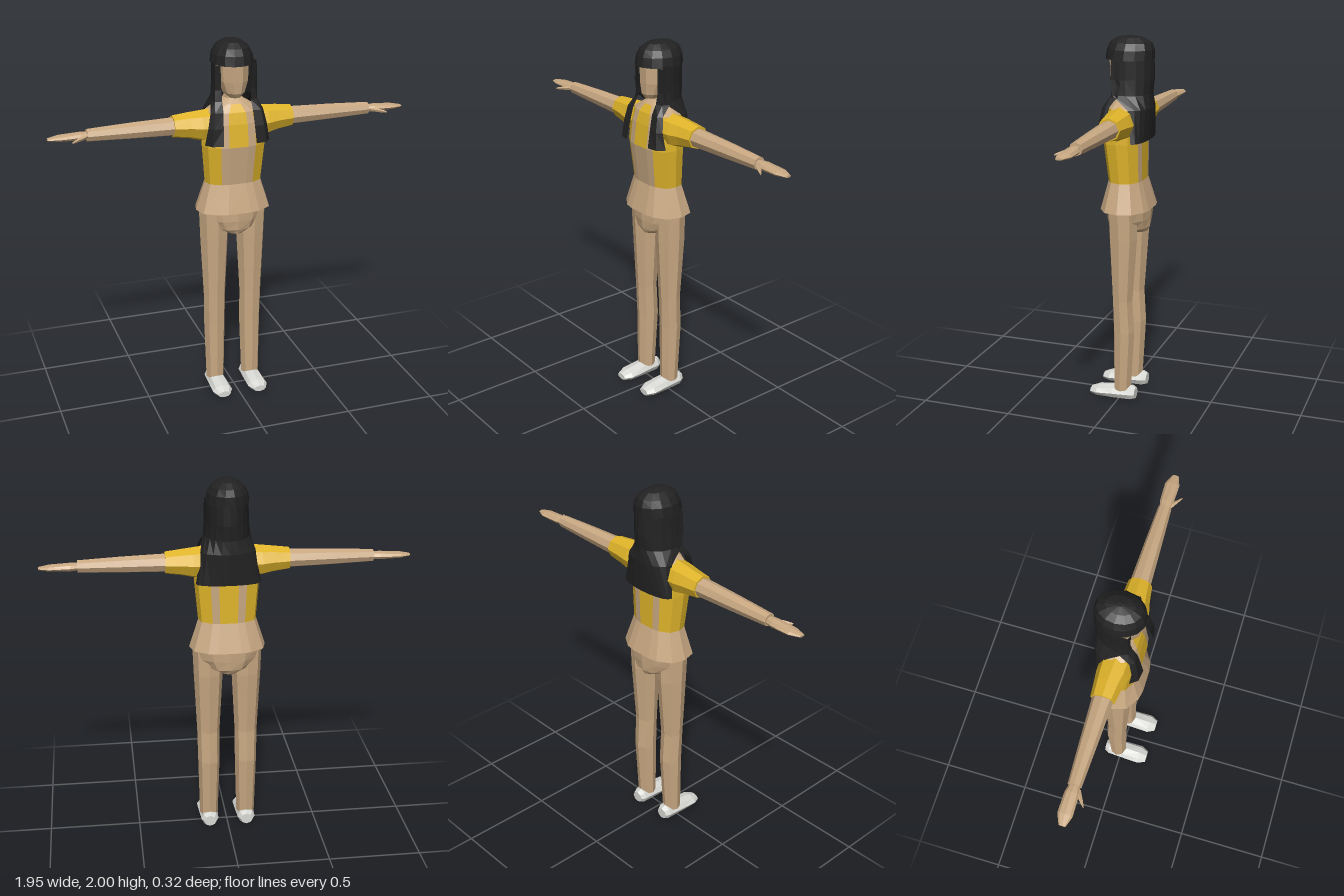
import * as THREE from 'three';

const mat = (name, color, extra = {}) => {
  const m = new THREE.MeshStandardMaterial({ color, flatShading: true, ...extra });
  m.name = name;
  return m;
};

// Oval outline with n corners inside the given bounds
const oval = (n, a0, a1, b0, b1) => Array.from({ length: n }, (_, i) => {
  const t = (i / n) * Math.PI * 2;
  return [(a0 + a1) / 2 + (a1 - a0) / 2 * Math.cos(t), (b0 + b1) / 2 + (b1 - b0) / 2 * Math.sin(t)];
});
// Rings across each axis
const ringY = (n, y, x0, x1, z0, z1) => oval(n, x0, x1, z0, z1).map(([x, z]) => [x, y, z]);
const ringX = (n, x, y0, y1, z0, z1) => oval(n, y0, y1, z0, z1).map(([y, z]) => [x, y, z]);
const ringZ = (n, z, x0, x1, y0, y1) => oval(n, x0, x1, y0, y1).map(([x, y]) => [x, y, z]);

// Skin rings into a solid (or an open sheet); pick(row, column) gives the material index
function loft(name, rings, materials, { sheet = false, pick = () => 0 } = {}) {
  const mats = [materials].flat();
  const buckets = mats.map(() => []);
  const n = rings[0].length;
  const cols = sheet ? n - 1 : n;
  for (let r = 0; r < rings.length - 1; r++) {
    for (let c = 0; c < cols; c++) {
      const d = (c + 1) % n;
      const [p, q, s, t] = [rings[r][c], rings[r][d], rings[r + 1][d], rings[r + 1][c]];
      buckets[pick(r, c)].push([p, q, s], [p, s, t]);
    }
  }
  if (!sheet) {
    const first = rings[0], last = rings[rings.length - 1];
    for (let c = 1; c < n - 1; c++) {
      buckets[0].push([first[0], first[c + 1], first[c]], [last[0], last[c], last[c + 1]]);
    }
  }
  // Turn all faces outward by the sign of the volume
  let volume = 0;
  const v = (p) => new THREE.Vector3(...p);
  buckets.flat().forEach(([a, b, c]) => { volume += v(a).dot(v(b).cross(v(c))); });
  const geo = new THREE.BufferGeometry();
  const pos = [];
  buckets.forEach((tris, i) => {
    geo.addGroup(pos.length / 3, tris.length * 3, i);
    tris.forEach(([a, b, c]) => pos.push(...a, ...(volume < 0 ? [...c, ...b] : [...b, ...c])));
  });
  geo.setAttribute('position', new THREE.Float32BufferAttribute(pos, 3));
  geo.computeVertexNormals();
  const mesh = new THREE.Mesh(geo, mats);
  mesh.name = name;
  return mesh;
}

const mirror = (rings, side) => rings.map((ring) => ring.map(([x, y, z]) => [x * side, y, z]));

export function createModel() {
  const model = new THREE.Group();
  model.name = 'figure';
  const tan = mat('tan', 0xc8a882);
  const yellow = mat('yellow', 0xdfb42a);
  const black = mat('black', 0x222222, { side: THREE.DoubleSide });
  const grey = mat('shoeGrey', 0xd8d8d4);

  // Top: boxy cross-sections with column edges placed at the colour seams
  const half = [-1, -0.9, -0.55, -0.3, 0.3, 0.55, 0.9];
  const outline = [...half.map((f) => [f, 1]), ...half.map((f) => [-f, -1])];
  const bodyRing = ([y, rx, zf, zb]) => outline.map(([f, s]) => {
    const bulge = (1 - Math.abs(f) ** 2.5) ** 0.4;
    const mid = (zf + zb) / 2;
    return [f * rx, y, mid + s * bulge * (zf - zb) / 2];
  });
  const body = [
    [1.085, 0.205, 0.115, -0.155], [1.24, 0.155, 0.075, -0.11], [1.45, 0.173, 0.1, -0.11],
    [1.57, 0.17, 0.085, -0.11], [1.63, 0.15, 0.07, -0.1], [1.67, 0.085, 0.045, -0.085],
    [1.695, 0.045, 0.015, -0.07],
  ].map(bodyRing);
  const bodyColour = (row, col) => {
    const front = col < 7, c = col % 7;
    const centre = c === 3, strip = c === 2 || c === 4;
    if (row === 0 || row > 4 || strip) return 0;
    if (centre) return front && row === 1 ? 0 : 1;
    return row < 4 ? 1 : 0;
  };
  model.add(loft('shirt', body, [tan, yellow], { pick: bodyColour }));

  // Rounded hips below the hem
  model.add(loft('hips', [
    ringY(12, 1.1, -0.185, 0.185, -0.145, 0.09),
    ringY(12, 1.03, -0.165, 0.165, -0.142, 0.09),
    ringY(12, 0.98, -0.125, 0.125, -0.138, 0.085),
    ringY(12, 0.955, -0.06, 0.06, -0.125, 0.075),
  ], tan));

  // Neck and head
  model.add(loft('neck', [
    ringY(8, 1.64, -0.05, 0.05, -0.08, 0.015),
    ringY(8, 1.78, -0.04, 0.04, -0.07, 0.015),
  ], tan));
  model.add(loft('head', [
    ringY(10, 1.705, -0.03, 0.03, -0.02, 0.06),
    ringY(10, 1.73, -0.058, 0.058, -0.08, 0.077),
    ringY(10, 1.79, -0.082, 0.082, -0.12, 0.082),
    ringY(10, 1.9, -0.088, 0.088, -0.13, 0.085),
  ], tan));

  // Hair: cap with fringe, long back sheet, and two front locks
  model.add(loft('hairCap', [
    ringY(14, 1.88, -0.114, 0.114, -0.155, 0.105),
    ringY(14, 1.93, -0.106, 0.106, -0.155, 0.097),
    ringY(14, 1.965, -0.086, 0.086, -0.143, 0.082),
    ringY(14, 1.99, -0.05, 0.05, -0.1, 0.045),
    ringY(14, 2, -0.012, 0.012, -0.04, -0.015),
  ], black));
  const backHair = [
    [1.89, 0.113, 0.04, -0.155], [1.78, 0.114, 0.045, -0.157], [1.7, 0.12, 0.03, -0.148],
    [1.63, 0.143, -0.06, -0.152], [1.46, 0.17, -0.085, -0.14],
  ].map(([y, rx, z0, z1]) => Array.from({ length: 11 }, (_, i) => {
    const t = (i / 10) * Math.PI;
    return [rx * Math.cos(t), y, z0 + (z1 - z0) * Math.sin(t) ** 0.8];
  }));
  model.add(loft('backHair', backHair, black, { sheet: true }));

  // Front lock rows: height, inner x and z, outer x and z
  const lock = [
    [1.88, 0.085, 0.05, 0.113, 0], [1.75, 0.08, 0.045, 0.116, -0.01], [1.69, 0.078, 0.055, 0.125, 0.0],
    [1.64, 0.08, 0.082, 0.143, 0.06], [1.56, 0.085, 0.1, 0.16, 0.075], [1.47, 0.09, 0.117, 0.177, 0.068],
  ].map(([y, xi, zi, xo, zo]) => [[xi, y, zi], [xi * 0.45 + xo * 0.55 + 0.01, y, zi * 0.6 + zo * 0.4 + 0.01], [xo, y, zo]]);

  for (const side of [1, -1]) {
    const label = side > 0 ? 'left' : 'right';
    const add = (part, rings, m, options) => model.add(loft(label + part, mirror(rings, side), m, options));
    add('HairLock', lock, black, { sheet: true });

    // Sleeve, arm, hand and thumb
    add('Sleeve', [
      ringX(8, 0.11, 1.47, 1.645, -0.095, 0.07),
      ringX(8, 0.18, 1.475, 1.638, -0.098, 0.066),
      ringX(8, 0.24, 1.49, 1.632, -0.092, 0.052),
      ringX(8, 0.325, 1.503, 1.622, -0.085, 0.04),
    ], yellow);
    add('Arm', [
      ringX(8, 0.3, 1.512, 1.612, -0.077, 0.032),
      ringX(8, 0.55, 1.518, 1.604, -0.068, 0.022),
      ringX(8, 0.775, 1.526, 1.593, -0.058, 0.012),
    ], tan);
    add('Hand', [
      ringX(8, 0.75, 1.54, 1.578, -0.045, 0),
      ringX(8, 0.81, 1.537, 1.58, -0.06, 0.012),
      ringX(8, 0.92, 1.543, 1.572, -0.062, 0.014),
      ringX(8, 0.975, 1.55, 1.562, -0.038, -0.004),
    ], tan);
    add('Thumb', [
      ringX(5, 0.785, 1.545, 1.567, -0.02, 0.012),
      ringX(5, 0.825, 1.542, 1.562, 0.008, 0.034),
      ringX(5, 0.86, 1.542, 1.552, 0.042, 0.05),
    ], tan);

    // Trouser leg
    add('Leg', [
      ringY(8, 1.09, 0.02, 0.188, -0.1, 0.06),
      ringY(8, 0.93, 0.024, 0.182, -0.1, 0.055),
      ringY(8, 0.58, 0.042, 0.166, -0.075, 0.037),
      ringY(8, 0.4, 0.043, 0.163, -0.086, 0.032),
      ringY(8, 0.06, 0.053, 0.155, -0.066, 0.03),
    ], tan);

    // Shoe
    add('Shoe', [
      ringZ(8, -0.095, 0.07, 0.138, 0.008, 0.072),
      ringZ(8, -0.07, 0.055, 0.152, 0, 0.084),
      ringZ(8, 0.03, 0.05, 0.157, 0, 0.078),
      ringZ(8, 0.12, 0.048, 0.16, 0.004, 0.064),
      ringZ(8, 0.162, 0.07, 0.14, 0.012, 0.048),
    ], grey);
  }
  return model;
}
